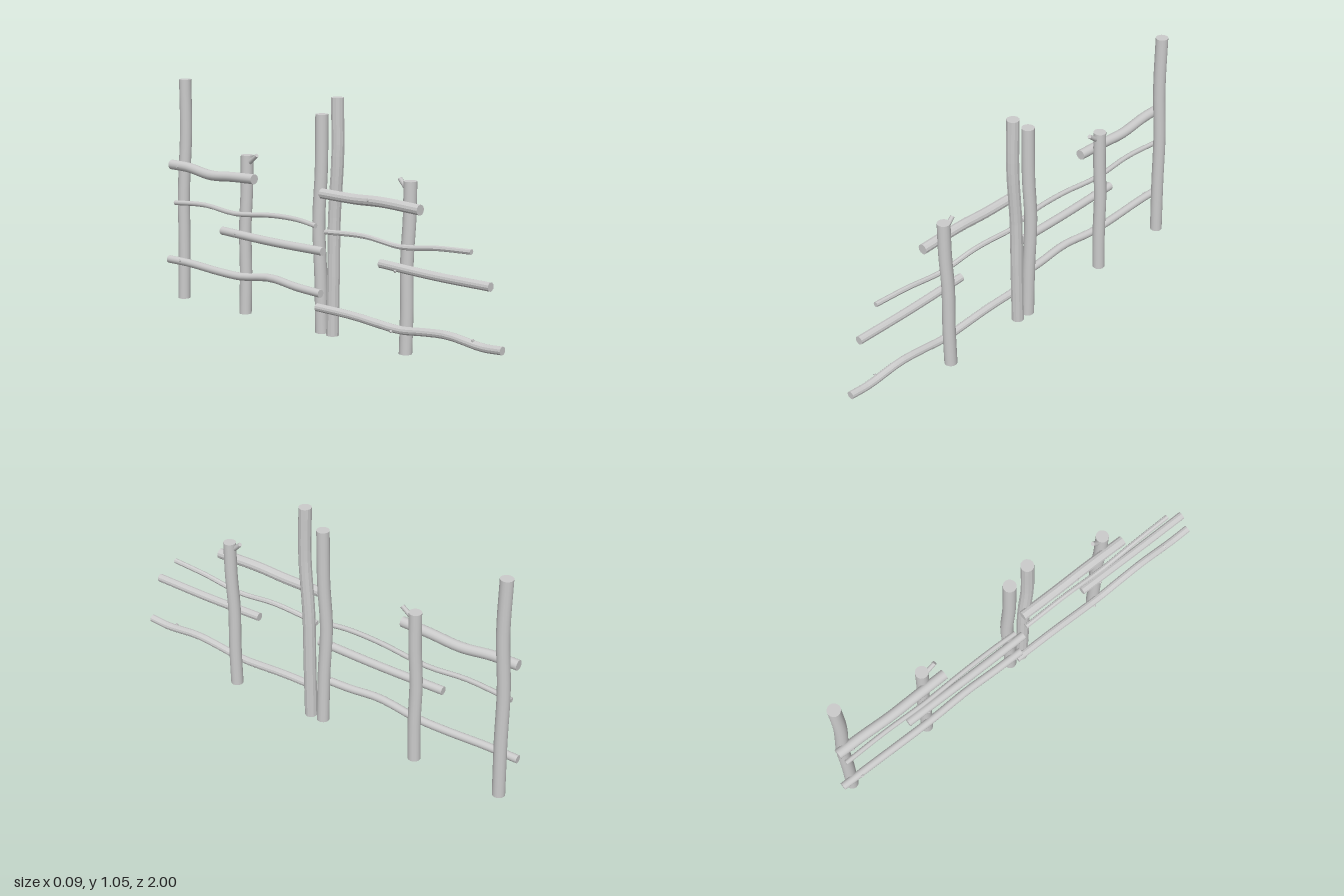
import * as THREE from 'three';

const smooth = new THREE.MeshStandardMaterial({ color: 0xcccccc });
const hewn = new THREE.MeshStandardMaterial({ color: 0xcccccc, flatShading: true });
const UP = new THREE.Vector3(0, 1, 0);

// A round branch: a cylinder whose rings follow a curve and all face along one axis
function branch(name, points, radius, axis, { sides = 16, rings = 20, material = smooth, endRadius = radius } = {}) {
  const curve = new THREE.CatmullRomCurve3(points.map(p => new THREE.Vector3(...p)));
  const geo = new THREE.CylinderGeometry(endRadius, radius, 1, sides, rings);
  const turn = new THREE.Quaternion().setFromUnitVectors(UP, axis.clone().normalize());
  const pos = geo.attributes.position;
  const v = new THREE.Vector3();
  for (let i = 0; i < pos.count; i++) {
    v.fromBufferAttribute(pos, i);
    const centre = curve.getPoint(THREE.MathUtils.clamp(v.y + 0.5, 0, 1));
    v.y = 0;
    v.applyQuaternion(turn).add(centre);
    pos.setXYZ(i, v.x, v.y, v.z);
  }
  geo.attributes.normal.applyMatrix4(new THREE.Matrix4().makeRotationFromQuaternion(turn));
  const mesh = new THREE.Mesh(geo, material);
  mesh.name = name;
  return mesh;
}

// Upright log, given [y, z] points from the ground up
function post(name, yz, options) {
  return branch(name, yz.map(([y, z]) => [0.015, y, z]), 0.0285, UP, options);
}

// Lying log, given [z, y] points from front to back
function rail(name, radius, zy, options) {
  return branch(name, zy.map(([z, y]) => [-0.023, y, z]), radius, new THREE.Vector3(0, 0, -1), options);
}

// Short straight stub of a side shoot
function twig(name, from, to, radius) {
  const axis = new THREE.Vector3(...to).sub(new THREE.Vector3(...from));
  return branch(name, [from, to], radius, axis, { sides: 8, rings: 1, endRadius: radius * 0.85 });
}

export function createModel() {
  const model = new THREE.Group();
  model.name = 'rusticFence';
  const rough = { sides: 12, material: hewn };

  // Posts
  model.add(
    post('shortFrontPost', [[0, 0.46], [0.2, 0.465], [0.4, 0.463], [0.58, 0.475], [0.74, 0.478]]),
    post('tallMiddlePost', [[0, 0.036], [0.27, 0.042], [0.53, 0.047], [0.8, 0.066], [1.05, 0.064]], rough),
    post('middlePost', [[0, -0.03], [0.25, -0.035], [0.5, -0.047], [0.72, -0.032], [0.97, -0.028]]),
    post('shortBackPost', [[0, -0.517], [0.2, -0.511], [0.4, -0.513], [0.58, -0.501], [0.74, -0.497]]),
    post('tallBackPost', [[0, -0.942], [0.27, -0.934], [0.53, -0.931], [0.8, -0.91], [1.05, -0.91]])
  );

  // Front panel rails
  model.add(
    rail('frontTopRail', 0.023, [[0.565, 0.635], [0.35, 0.64], [0.2, 0.633], [0.01, 0.633]], rough),
    rail('frontThinRail', 0.0115, [[0.835, 0.502], [0.66, 0.49], [0.46, 0.466], [0.26, 0.481], [0.03, 0.467]],
      { sides: 8, material: hewn }),
    rail('frontLowerRail', 0.019, [[0.935, 0.375], [0.65, 0.372], [0.35, 0.378]], rough),
    rail('frontBottomRail', 0.018,
      [[1, 0.126], [0.9, 0.12], [0.72, 0.136], [0.58, 0.124], [0.46, 0.11], [0.2, 0.123], [-0.02, 0.123]], rough)
  );

  // Back panel rails
  model.add(
    rail('backTopRail', 0.023, [[-0.412, 0.643], [-0.55, 0.637], [-0.7, 0.627], [-0.85, 0.645], [-0.97, 0.646]]),
    rail('backThinRail', 0.0115, [[-0.03, 0.485], [-0.14, 0.497], [-0.3, 0.494], [-0.54, 0.469], [-0.74, 0.482], [-0.95, 0.466]],
      { sides: 8 }),
    rail('backLowerRail', 0.019, [[0.015, 0.378], [-0.3, 0.373], [-0.625, 0.378]]),
    rail('backBottomRail', 0.018,
      [[0, 0.187], [-0.15, 0.192], [-0.31, 0.206], [-0.5, 0.181], [-0.65, 0.18], [-0.85, 0.188], [-1, 0.186]])
  );

  // Forked twigs near the tops of the short posts
  model.add(
    twig('frontTwig', [0.012, 0.703, 0.465], [0.012, 0.745, 0.422], 0.0115),
    twig('backTwig', [0.012, 0.703, -0.485], [0.012, 0.745, -0.43], 0.0115)
  );

  // Small knots on the rails
  for (const [y, z, dx, dy] of [
    [0.122, 0.86, -0.008, 0.024], [0.112, 0.43, -0.02, -0.014], [0.637, 0.3, -0.025, 0.008],
    [0.373, 0.45, -0.02, -0.012], [0.64, -0.9, -0.025, 0.006], [0.375, -0.52, -0.021, 0.006],
    [0.187, -0.9, -0.02, 0.01]
  ]) {
    model.add(twig('knot', [-0.023, y, z], [-0.023 + dx, y + dy, z - 0.006], 0.007));
  }
  return model;
}
